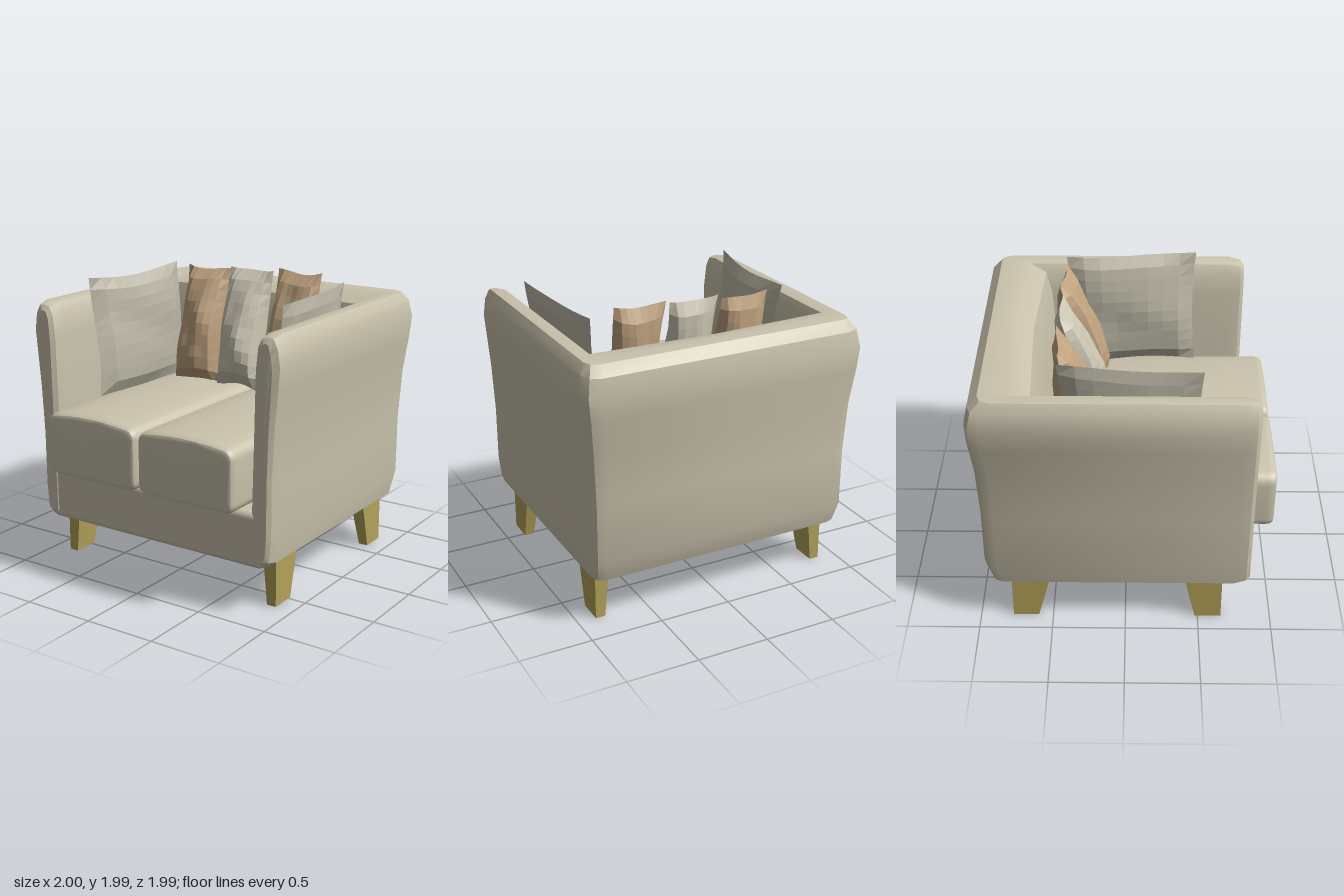
import * as THREE from 'three';
import { mergeGeometries, toCreasedNormals } from 'three/addons/utils/BufferGeometryUtils.js';
import { RoundedBoxGeometry } from 'three/addons/geometries/RoundedBoxGeometry.js';

const fabric = new THREE.MeshStandardMaterial({ color: 0xc9c2ac });
const creamPillow = new THREE.MeshStandardMaterial({ color: 0xcbc5b2, flatShading: true });
const greyPillow = new THREE.MeshStandardMaterial({ color: 0xb9b5a4, flatShading: true });
const tanPillow = new THREE.MeshStandardMaterial({ color: 0xbfa27e, flatShading: true });
const wood = new THREE.MeshStandardMaterial({ color: 0xb3a25a });

function part(name, geometry, material) {
  const mesh = new THREE.Mesh(geometry, material);
  mesh.name = name;
  return mesh;
}

// Arms and back: one padded section swept round a U.
// Each entry: inset of the arm, inset of the back, height, corner cut.
const SECTION = [
  [0.13, 0.28, 0.31, 0.06], [0.08, 0.10, 0.35, 0.08], [0.06, 0.05, 0.50, 0.09],
  [0.06, 0.05, 0.90, 0.09], [0.04, 0.035, 1.25, 0.10], [0.015, 0.005, 1.50, 0.10],
  [0, 0, 1.65, 0.10], [0.02, 0.025, 1.77, 0.10], [0.06, 0.09, 1.835, 0.08],
  [0.11, 0.18, 1.84, 0.05], [0.16, 0.30, 1.825, 0], [0.19, 0.41, 1.77, 0],
  [0.21, 0.45, 1.62, 0], [0.22, 0.48, 1.20, 0], [0.235, 0.52, 0.64, 0], [0.24, 0.53, 0.31, 0],
];

function shellGeometry() {
  // Front end of an arm, drawn in by s at depth z
  const armEnd = (z, s) => SECTION.map(([a, , y]) => [
    0.87 + (0.13 - a) * (1 - s / 0.11), 1.07 + (y - 1.07) * (1 - s / 0.76), z]);
  const corner = (k, m) => SECTION.map(([a, b, y, c]) => [1 - a - c * k, y, -1 + b + c * m]);
  const half = [armEnd(0.84, 0.055), armEnd(0.815, 0.02), armEnd(0.73, 0),
    corner(0, 1), corner(0.27, 0.27), corner(1, 0)];
  const middle = SECTION.map(([, b, y], j) => [0, y, -1 + b - (j > 9 && j < 13 ? 0.035 : 0)]);
  const mirrored = half.map(r => r.map(([x, y, z]) => [-x, y, z])).reverse();
  const rings = [...half, middle, ...mirrored];

  const n = SECTION.length, pos = rings.flat(2), index = [];
  for (let i = 0; i < rings.length - 1; i++) {
    for (let j = 0; j < n; j++) {
      const a = i * n + j, d = i * n + (j + 1) % n, b = a + n, c = d + n;
      index.push(a, b, c, a, c, d);
    }
  }
  // Close both arm fronts
  const last = (rings.length - 1) * n, centre = rings.length * n;
  pos.push(0.87, 1.07, 0.84, -0.87, 1.07, 0.84);
  for (let j = 0; j < n; j++) {
    const k = (j + 1) % n;
    index.push(centre, j, k, centre + 1, last + k, last + j);
  }
  const g = new THREE.BufferGeometry();
  g.setAttribute('position', new THREE.Float32BufferAttribute(pos, 3));
  g.setIndex(index);
  return toCreasedNormals(g, 0.5);
}

// Seat cushion: rounded block with a crowned top
function cushionGeometry() {
  const w = 0.34, r = 0.04, s = new THREE.Shape();
  s.moveTo(-w + r, 0.73);
  s.lineTo(w - r, 0.73);
  s.quadraticCurveTo(w, 0.73, w, 0.73 + r);
  s.lineTo(w, 1.05);
  s.quadraticCurveTo(w, 1.09, w - r, 1.1);
  s.quadraticCurveTo(0, 1.145, -w + r, 1.1);
  s.quadraticCurveTo(-w, 1.09, -w, 1.05);
  s.lineTo(-w, 0.73 + r);
  s.quadraticCurveTo(-w, 0.73, -w + r, 0.73);
  const g = new THREE.ExtrudeGeometry(s, {
    depth: 1.38, bevelThickness: 0.05, bevelSize: 0.03, bevelSegments: 3, curveSegments: 6 });
  g.translate(0, 0, -0.44);
  return toCreasedNormals(g, 0.6);
}

// Throw pillow: two sheets puffed apart, with pinched edges and light creases
function pillowGeometry(w, h, t, sag, seed) {
  const front = new THREE.PlaneGeometry(2, 2, 8, 10);
  const back = front.clone().rotateY(Math.PI);
  front.translate(0, 0, 1);
  back.translate(0, 0, -1);
  const g = mergeGeometries([front, back]), p = g.attributes.position;
  for (let i = 0; i < p.count; i++) {
    const u = p.getX(i), v = p.getY(i), side = p.getZ(i);
    const puff = Math.pow(Math.max(0, (1 - u * u) * (1 - v * v)), 0.45);
    const crease = 1 + 0.1 * Math.sin(5 * u + 3 * v + seed) * Math.cos(4 * v - 2 * u + seed * side);
    p.setXYZ(i,
      u * w / 2 * (1 - 0.05 * (1 - v * v)),
      v * h / 2 * (1 - 0.045 * (1 - u * u)) + 0.008 * Math.sin(3 * u + seed),
      t * puff * crease * (1 - sag * v) * (side > 0 ? 1 : -0.8)
        + 0.012 * Math.sin(3 * v + 2 * u + seed));
  }
  g.computeVertexNormals();
  return g;
}

// Leg: straight outside, tapering on two sides
function legGeometry(zOuter, zTop, zFoot) {
  const g = new THREE.BoxGeometry(1, 1, 1).toNonIndexed(), p = g.attributes.position;
  const zMax = Math.max(zOuter, zTop);
  for (let i = 0; i < p.count; i++) {
    const top = p.getY(i) > 0;
    const inner = top ? zTop : zFoot;
    const isOuter = (p.getZ(i) > 0) === (zOuter === zMax);
    p.setXYZ(i, p.getX(i) > 0 ? 0.872 : top ? 0.772 : 0.805, top ? 0.35 : 0, isOuter ? zOuter : inner);
  }
  g.computeVertexNormals();
  return g;
}

export function createModel() {
  const model = new THREE.Group();
  model.name = 'armchair';

  model.add(part('armsAndBack', shellGeometry(), fabric));

  const base = part('seatBase', new RoundedBoxGeometry(1.74, 0.37, 1.6, 3, 0.04), fabric);
  base.position.set(0, 0.497, 0.035);
  model.add(base);

  for (const side of [-1, 1]) {
    const label = side > 0 ? 'left' : 'right';
    const cushion = part(label + 'SeatCushion', cushionGeometry(), fabric);
    cushion.position.x = side * 0.379;
    model.add(cushion);

    for (const [name, ...z] of [['FrontLeg', 0.66, 0.4, 0.48], ['RearLeg', -0.775, -0.51, -0.6]]) {
      const leg = part(label + name, legGeometry(...z), wood);
      // Half turn plus reversed depth mirrors the leg without flipping its faces
      if (side < 0) {
        leg.geometry = legGeometry(...z.map(v => -v));
        leg.rotation.y = Math.PI;
      }
      model.add(leg);
    }
  }

  // Name, material, width, height, half thickness, sag, position, turn, lean
  const pillows = [
    ['rightBackPillow', tanPillow, 0.36, 0.85, 0.15, 0.3, [-0.4, 1.535, -0.35], 0, -0.22],
    ['middleBackPillow', creamPillow, 0.36, 0.86, 0.15, 0.3, [-0.03, 1.555, -0.34], 0, -0.22],
    ['leftBackPillow', tanPillow, 0.36, 0.88, 0.15, 0.3, [0.365, 1.56, -0.34], 0, -0.22],
    ['rightSidePillow', greyPillow, 0.92, 0.83, 0.08, 0.2, [-0.69, 1.54, 0.03], Math.PI / 2 - 0.09, -0.1],
    ['leftSidePillow', greyPillow, 0.92, 0.83, 0.08, 0.2, [0.7, 1.54, 0.03], -Math.PI / 2 + 0.06, -0.13],
  ];
  pillows.forEach(([name, material, w, h, t, sag, at, turn, lean], i) => {
    const pillow = part(name, pillowGeometry(w, h, t, sag, i * 1.7), material);
    pillow.position.set(...at);
    pillow.rotation.set(lean, turn, 0, 'YXZ');
    model.add(pillow);
  });

  return model;
}
